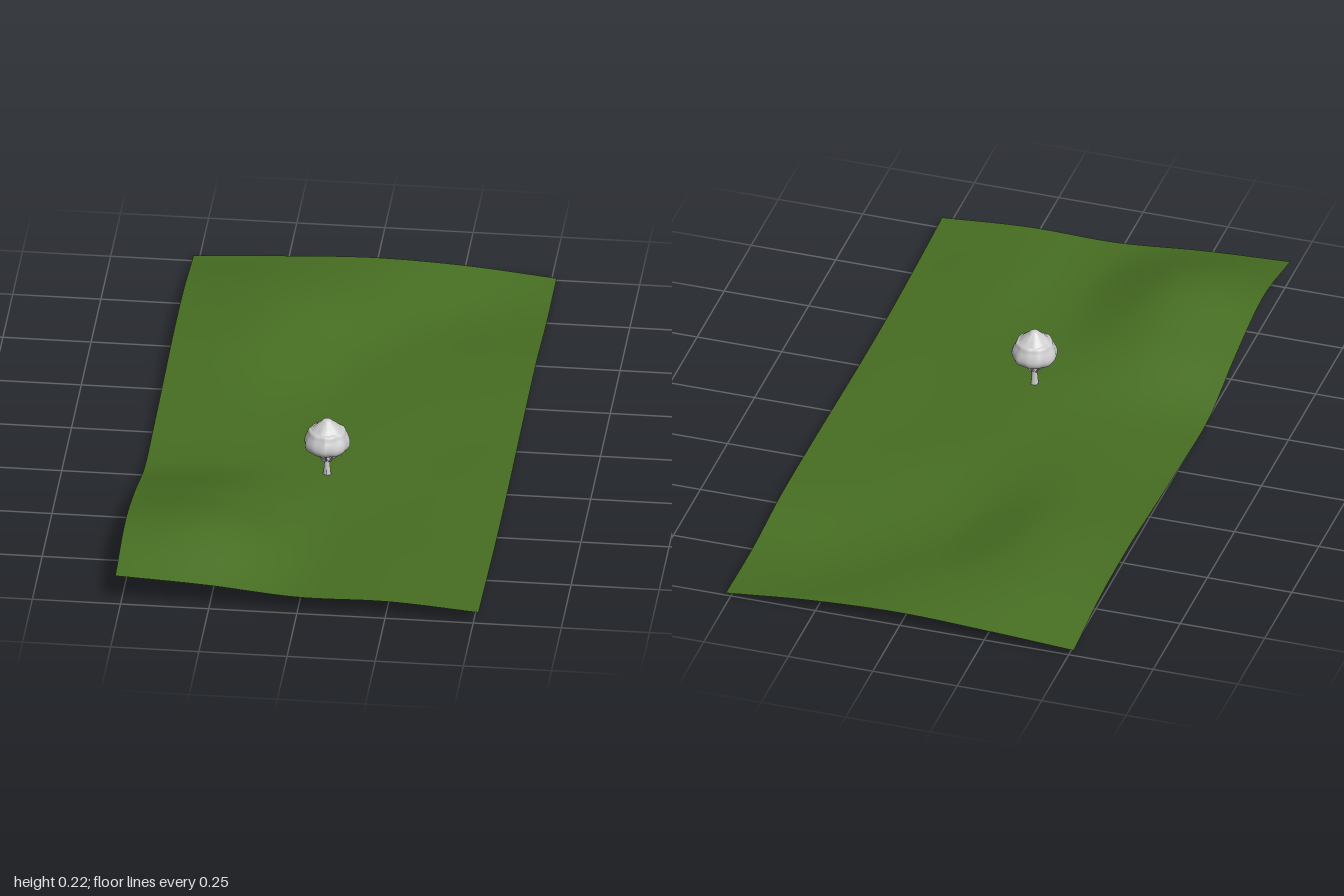
import * as THREE from 'three';

const WIDTH = 1.03, LENGTH = 2;

// Ground heights: rows run back to front (z -1..1), columns from -x to +x
const HEIGHTS = [
  [0.025, 0.040, 0.050, 0.040, 0.015],
  [0.055, 0.068, 0.042, 0.010, 0.013],
  [0.060, 0.070, 0.018, 0.020, 0.030],
  [0.048, 0.052, 0.018, 0.025, 0.030],
  [0.037, 0.044, 0.035, 0.020, 0.025],
  [0.034, 0.050, 0.048, 0.027, 0.020],
  [0.095, 0.105, 0.055, 0.040, 0.021],
  [0.133, 0.140, 0.060, 0.056, 0.030],
  [0.098, 0.084, 0.061, 0.062, 0.043],
];

// Smooth Catmull-Rom value along a list, t in 0..1
function smooth(list, t) {
  const n = list.length - 1;
  const i = Math.min(Math.floor(t * n), n - 1), f = t * n - i;
  const a = list[i], b = list[i + 1];
  const before = i > 0 ? list[i - 1] : 2 * a - b;
  const after = i < n - 1 ? list[i + 2] : 2 * b - a;
  const m0 = (b - before) / 2, m1 = (after - a) / 2;
  return a + m0 * f + (3 * (b - a) - 2 * m0 - m1) * f * f + (2 * (a - b) + m0 + m1) * f * f * f;
}

const clamp01 = (v) => Math.min(1, Math.max(0, v));
function groundHeight(x, z) {
  const u = clamp01(x / WIDTH + 0.5), v = clamp01(z / LENGTH + 0.5);
  return Math.max(0, smooth(HEIGHTS.map((row) => smooth(row, u)), v));
}

function moveVertices(geometry, rule) {
  const p = geometry.attributes.position, v = new THREE.Vector3();
  for (let i = 0; i < p.count; i++) {
    rule(v.fromBufferAttribute(p, i));
    p.setXYZ(i, v.x, v.y, v.z);
  }
  geometry.computeVertexNormals();
  return geometry;
}

function lathe(points, segments) {
  const profile = new THREE.SplineCurve(points.map(([r, y]) => new THREE.Vector2(r, y)));
  const pts = profile.getPoints(28).map((p) => new THREE.Vector2(Math.max(0, p.x), p.y));
  return new THREE.LatheGeometry(pts, segments);
}

export function createModel() {
  const model = new THREE.Group();
  const grass = new THREE.MeshStandardMaterial({ color: 0x476e22, side: THREE.DoubleSide });
  grass.name = 'grass green';
  const pale = new THREE.MeshStandardMaterial({ color: 0xcccccc, side: THREE.DoubleSide });
  pale.name = 'pale grey';

  const add = (parent, name, geometry, material) => {
    const mesh = new THREE.Mesh(geometry, material);
    mesh.name = name;
    parent.add(mesh);
    return mesh;
  };

  // Rolling ground sheet
  const sheet = new THREE.PlaneGeometry(WIDTH, LENGTH, 56, 108).rotateX(-Math.PI / 2);
  add(model, 'ground', moveVertices(sheet, (v) => { v.y = groundHeight(v.x, v.z); }), grass);

  // Tree, with its foot sunk through the ground
  const tree = new THREE.Group();
  tree.name = 'tree';
  tree.position.set(0.003, 0, 0.255);
  model.add(tree);

  // Trunk with flared, fluted foot
  const trunk = lathe([[0.015, 0.03], [0.0115, 0.045], [0.009, 0.07], [0.0085, 0.1], [0.012, 0.14]], 20);
  add(tree, 'trunk', moveVertices(trunk, (v) => {
    const flute = 1 + 0.12 * Math.sin(5 * Math.atan2(v.z, v.x)) * clamp01((0.08 - v.y) / 0.05);
    v.x *= flute;
    v.z *= flute;
  }), pale);

  // Branches curling up into the crown
  for (let i = 0; i < 8; i++) {
    const a = (i / 8) * Math.PI * 2;
    const reach = i % 2 ? 0.021 : 0.029, low = i % 2 ? 0.088 : 0.094;
    const at = (r, y) => new THREE.Vector3(r * Math.cos(a), y, r * Math.sin(a));
    const path = new THREE.CatmullRomCurve3([
      at(0.003, low), at(reach * 0.65, low + 0.006), at(reach, low + 0.018), at(reach * 0.95, 0.14),
    ]);
    add(tree, 'branch', new THREE.TubeGeometry(path, 10, 0.0024, 6), pale);
  }

  // Lumpy crown: a broad lower mass and a peaked cap
  const lumps = (amount, count) => (v) => {
    const a = Math.atan2(v.z, v.x);
    const k = 1 + amount * (Math.sin(count * a + v.y * 60) + 0.5 * Math.sin((count + 5) * a + 1));
    v.x *= k;
    v.z *= k;
  };
  const lower = lathe([[0, 0.134], [0.03, 0.127], [0.052, 0.128], [0.063, 0.142],
    [0.063, 0.158], [0.055, 0.177], [0.045, 0.192], [0, 0.196]], 48);
  add(tree, 'lower crown', moveVertices(lower, lumps(0.025, 7)), pale);
  const cap = lathe([[0, 0.186], [0.044, 0.187], [0.036, 0.199], [0.02, 0.213], [0.01, 0.222], [0, 0.225]], 40);
  add(tree, 'upper crown', moveVertices(cap, lumps(0.03, 5)), pale);

  return model;
}
